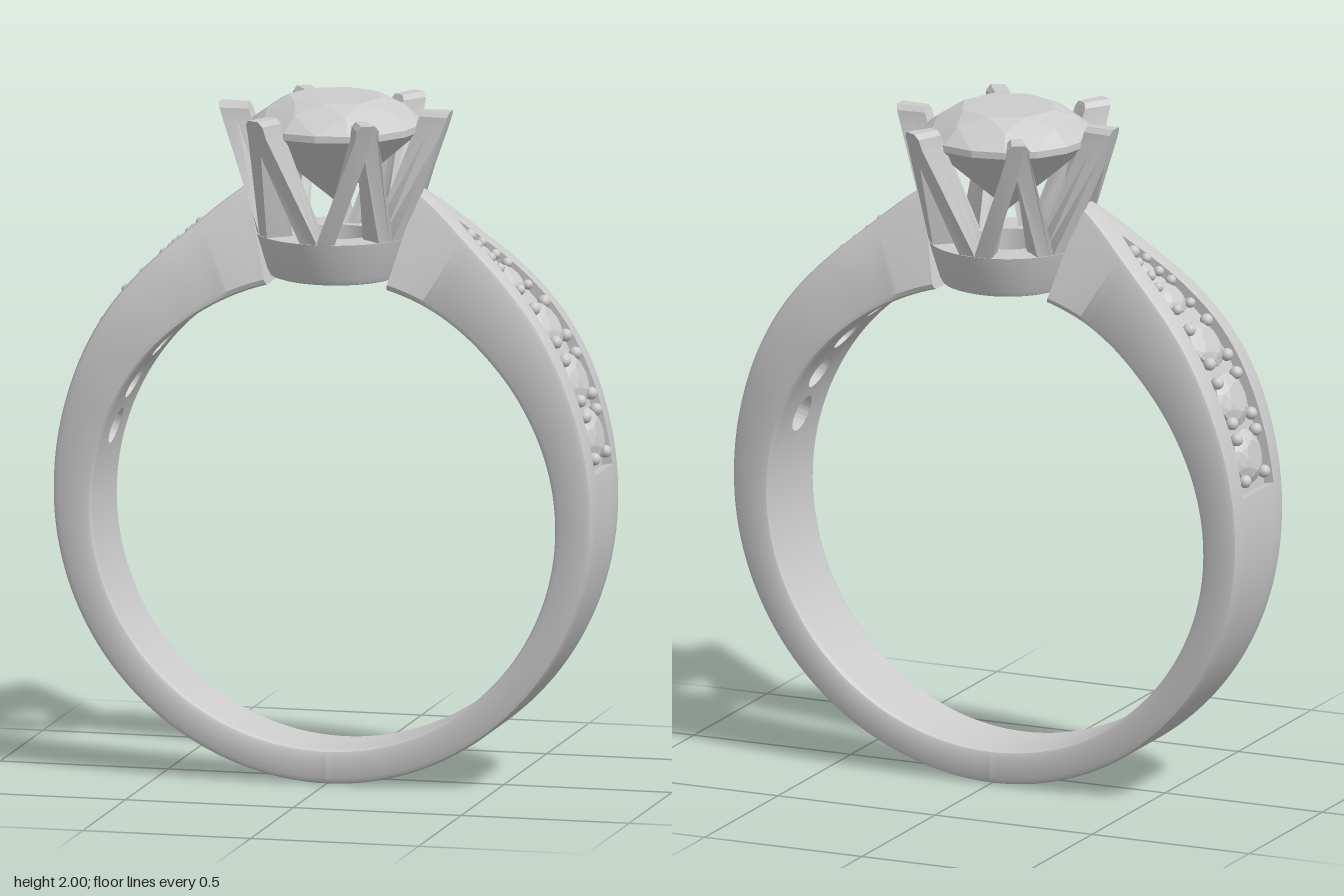
import * as THREE from 'three';
import { toCreasedNormals } from 'three/addons/utils/BufferGeometryUtils.js';
import { ConvexGeometry } from 'three/addons/geometries/ConvexGeometry.js';

const CY = 0.79, RI = 0.69, END = 165, BEVEL = 0.018, POCKET = [100.5, 157];

// smooth interpolation through [angle, value] pairs
function table(...p) {
  const slope = i => {
    const a = p[Math.max(i - 1, 0)], b = p[Math.min(i + 1, p.length - 1)];
    return i === 0 ? 0 : (b[1] - a[1]) / (b[0] - a[0]);
  };
  return x => {
    let i = 0;
    while (i < p.length - 2 && x > p[i + 1][0]) i++;
    const h = p[i + 1][0] - p[i][0], t = THREE.MathUtils.clamp((x - p[i][0]) / h, 0, 1);
    const t2 = t * t, t3 = t2 * t;
    return p[i][1] * (2 * t3 - 3 * t2 + 1) + p[i + 1][1] * (3 * t2 - 2 * t3)
      + h * (slope(i) * (t3 - 2 * t2 + t) + slope(i + 1) * (t3 - t2));
  };
}

// shank dimensions by angle in degrees, measured from the bottom of the band
const outerR = table([0, 0.79], [45, 0.788], [90, 0.802], [112, 0.825], [134, 0.87], [146, 0.895], [154, 0.92], [165, 0.98]);
const outerW = table([0, 0.125], [45, 0.14], [75, 0.155], [112, 0.178], [122, 0.179], [134, 0.165], [146, 0.135], [154, 0.1], [165, 0.045]);
const innerW = table([0, 0.125], [45, 0.14], [75, 0.155], [112, 0.178], [122, 0.179], [134, 0.172], [146, 0.15], [154, 0.135], [165, 0.125]);
const pocketW = table([100, 0.104], [118, 0.107], [126, 0.106], [134, 0.098], [143, 0.075], [152, 0.036], [157, 0.002]);

// side stones: angle, radius, drilled hole radius
const stones = [[108, 0.08, 0.055], [120, 0.08, 0.055], [132, 0.074, 0.05], [143, 0.055, 0.036], [150, 0.034, 0.022]];
const cells = [102, 114, 126, 137.5, 146.5, 153];

const polar = (deg, r, z) => {
  const a = THREE.MathUtils.degToRad(deg);
  return new THREE.Vector3(r * Math.sin(a), CY - r * Math.cos(a), z);
};

const material = new THREE.MeshStandardMaterial({ color: 0xcccccc, side: THREE.DoubleSide });

function add(parent, name, geometry) {
  const mesh = new THREE.Mesh(geometry, material);
  mesh.name = name;
  parent.add(mesh);
  return mesh;
}

// skin over rows of points
function loft(rows, crease = 0.6) {
  const n = rows[0].length, index = [];
  for (let i = 0; i < rows.length - 1; i++) {
    for (let j = 0; j < n - 1; j++) {
      const a = i * n + j, b = a + n;
      index.push(a, a + 1, b, b, a + 1, b + 1);
    }
  }
  const g = new THREE.BufferGeometry().setFromPoints(rows.flat());
  g.setIndex(index);
  return toCreasedNormals(g, crease);
}

// outer and side faces of the band at one angle, with a sunken pocket of given depth
function section(deg, depth) {
  const ro = outerR(deg), wo = outerW(deg), wi = innerW(deg), b = BEVEL;
  const pw = depth ? pocketW(deg) : deg < 130 ? pocketW(101) : 0.002;
  const half = [[RI, wi - b], [RI + 0.3 * b, wi - 0.3 * b], [RI + b, wi], [ro - b, wo], [ro - 0.3 * b, wo - 0.3 * b],
    [ro, wo - b], [ro, pw], [ro - depth, pw]];
  const other = half.map(([r, z]) => [r, -z]).reverse();
  return [...half, ...other].map(([r, z]) => polar(deg, r, z));
}

function innerStrip(from, to) {
  const rows = [], n = Math.max(4, Math.round((to - from) / 2));
  for (let i = 0; i <= n; i++) {
    const d = from + (to - from) * i / n, w = innerW(d) - BEVEL;
    rows.push([polar(d, RI, -w), polar(d, RI, w)]);
  }
  return loft(rows);
}

// patch of the inner wall with a round drilled hole
function drilledCell(lo, hi, mid, radius) {
  const rows = [], N = 48, deg = THREE.MathUtils.radToDeg(radius / RI);
  for (let k = -1; k <= 4; k++) {
    const t = Math.max(k, 0) / 4, row = [];
    for (let j = 0; j <= N; j++) {
      const a = j / N * Math.PI * 2, c = Math.cos(a), s = Math.sin(a), m = Math.max(Math.abs(c), Math.abs(s));
      const edge = mid + c / m * (c > 0 ? hi - mid : mid - lo);
      const d = THREE.MathUtils.lerp(mid + deg * c, edge, t);
      const z = THREE.MathUtils.lerp(radius * s, s / m * (innerW(edge) - BEVEL), t);
      row.push(polar(d, k < 0 ? RI + 0.1 : RI, z));
    }
    rows.push(row);
  }
  return loft(rows);
}

// round brilliant of radius 1, girdle at y = 0
function brilliant() {
  const pts = [];
  const ring = (n, r, y, turn = 0) => {
    for (let i = 0; i < n; i++) {
      const a = (i + turn) / n * Math.PI * 2;
      pts.push(new THREE.Vector3(r * Math.cos(a), y, r * Math.sin(a)));
    }
  };
  ring(8, 0.56, 0.34);
  ring(8, 0.8, 0.225, 0.5);
  ring(16, 1, 0.04);
  ring(16, 1, -0.04);
  ring(8, 0.6, -0.41, 0.5);
  pts.push(new THREE.Vector3(0, -0.9, 0));
  return new ConvexGeometry(pts);
}

function createArm(gem) {
  const arm = new THREE.Group(), rows = [];
  // band body, with doubled sections where the pocket starts and ends
  for (let d = 0; d < POCKET[0]; d += 2) rows.push(section(d, 0));
  rows.push(section(POCKET[0], 0));
  for (let i = 0; i <= 40; i++) rows.push(section(THREE.MathUtils.lerp(...POCKET, i / 40), 0.03));
  for (let d = POCKET[1]; d <= END; d += 2) rows.push(section(d, 0));
  rows.push(rows[0].map(() => polar(END, RI, 0)));
  add(arm, 'bandBody', loft(rows));
  add(arm, 'bandInnerWall', innerStrip(0, cells[0]));
  add(arm, 'bandInnerWallTop', innerStrip(cells[5], END));

  const bead = new THREE.SphereGeometry(0.019, 14, 10);
  stones.forEach(([deg, r, hole], i) => {
    add(arm, 'drilledWall', drilledCell(cells[i], cells[i + 1], deg, hole));
    // stone and its four beads, tilted to the surface
    const setting = new THREE.Group();
    setting.name = 'sideStoneSetting';
    const ro = outerR(deg), rad = Math.PI / 180;
    const tilt = Math.atan((outerR(deg + 1) - outerR(deg - 1)) / (2 * rad * ro));
    setting.position.copy(polar(deg, ro, 0));
    setting.rotation.z = deg * rad + Math.PI - tilt;
    const stone = add(setting, 'sideStone', gem);
    stone.scale.setScalar(r);
    stone.position.y = -0.02;
    for (const sx of [-1, 1]) for (const sz of [-1, 1]) {
      const b = add(setting, 'bead', bead);
      b.position.set(sx * r * 0.78, -0.008, sz * r * 0.8);
      b.scale.setScalar(r < 0.06 ? 0.8 : 1);
    }
    arm.add(setting);
  });
  // closing bead at the pocket tip
  add(arm, 'tipBead', bead).position.copy(polar(154, outerR(154) - 0.01, 0));
  return arm;
}

// pointed prong with a triangular window, wrapped on the cone of the head
function prongGeometry() {
  const right = [[0.114, 1.57], [0.119, 1.61], [0.036, 1.92], [0.033, 1.955], [0.02, 1.97]];
  const left = right.map(([u, v]) => [-u, v]).reverse();
  const shape = new THREE.Shape([...right, ...left].map(p => new THREE.Vector2(...p)));
  shape.holes.push(new THREE.Path([[-0.068, 1.6], [0, 1.86], [0.068, 1.6]].map(p => new THREE.Vector2(...p))));
  const depth = 0.085;
  const g = new THREE.ExtrudeGeometry(shape, { depth, bevelEnabled: false, steps: 2 });
  const p = g.attributes.position;
  for (let i = 0; i < p.count; i++) {
    const y = p.getY(i), R = 0.19 + 0.316 * (y - 1.48), a = p.getX(i) / R, r = R - depth + p.getZ(i);
    p.setXYZ(i, r * Math.sin(a), y, r * Math.cos(a));
  }
  return toCreasedNormals(g, 0.4);
}

export function createModel() {
  const model = new THREE.Group();
  model.name = 'ring';
  const gem = brilliant();

  for (const side of ['left', 'right']) {
    const arm = createArm(gem);
    arm.name = side + 'Arm';
    if (side === 'right') arm.rotation.y = Math.PI;
    model.add(arm);
  }

  // head: conical collar, six prongs and the centre stone
  const head = new THREE.Group();
  head.name = 'head';
  const profile = [[0.115, 1.6], [0.115, 1.485], [0.125, 1.475], [0.175, 1.475], [0.19, 1.48], [0.198, 1.495], [0.23, 1.602], [0.115, 1.6]];
  const collar = new THREE.LatheGeometry(profile.map(p => new THREE.Vector2(...p)), 64);
  add(head, 'collar', toCreasedNormals(collar, 0.6));
  const prong = prongGeometry();
  for (let i = 0; i < 6; i++) add(head, 'prong', prong).rotation.y = Math.PI / 2 + i * Math.PI / 3;
  const centre = add(head, 'centreStone', gem);
  centre.scale.setScalar(0.25);
  centre.position.y = 1.915;
  model.add(head);
  return model;
}
